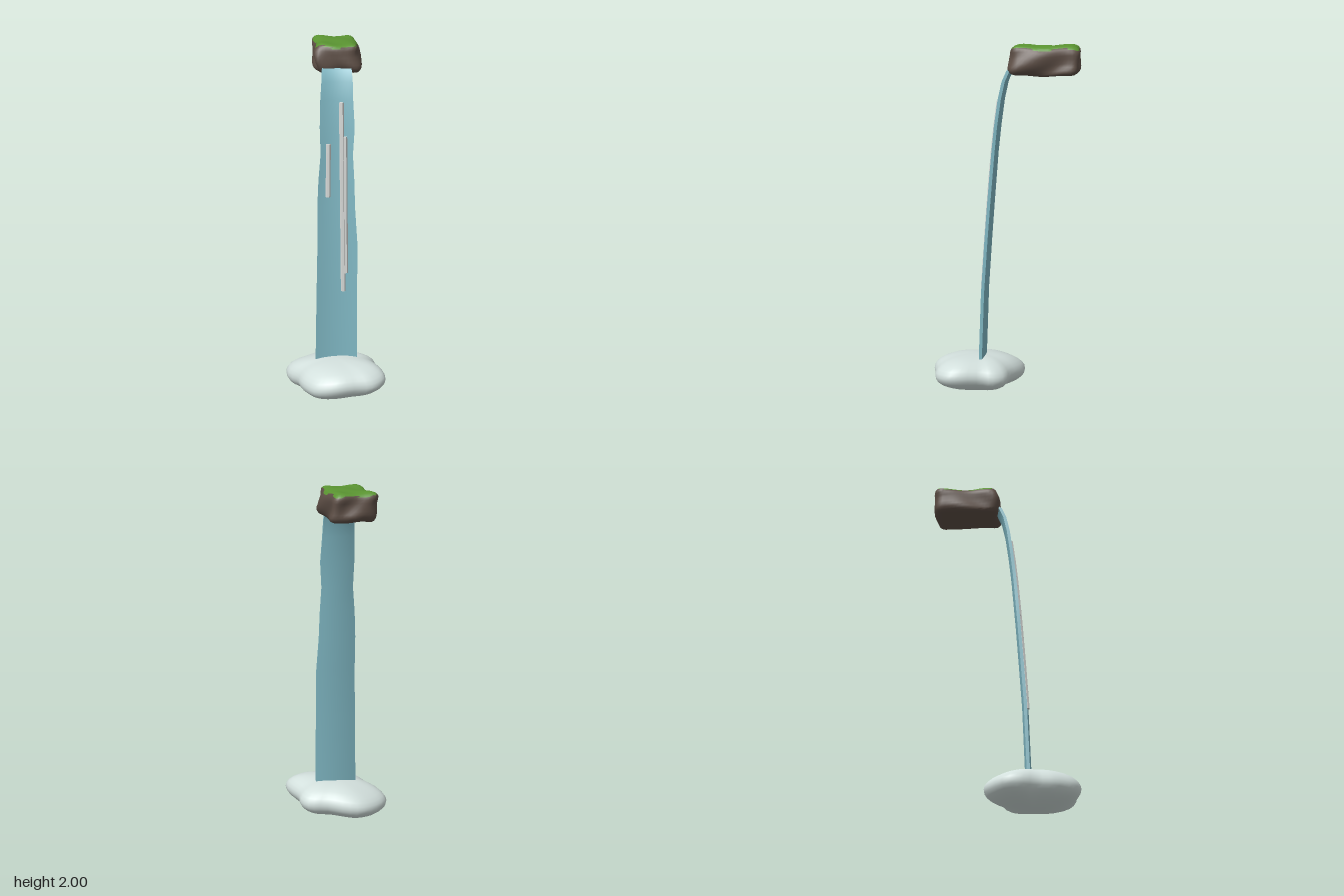
import * as THREE from 'three';
import { toCreasedNormals } from 'three/addons/utils/BufferGeometryUtils.js';

const mat = (name, color) => Object.assign(new THREE.MeshStandardMaterial({ color }), { name });

// Piecewise-linear lookup in rows of [key, value...], keys ascending
function sample(rows, k, col = 1) {
  if (k <= rows[0][0]) return rows[0][col];
  for (let i = 1; i < rows.length; i++) {
    if (k <= rows[i][0]) {
      const t = (k - rows[i - 1][0]) / (rows[i][0] - rows[i - 1][0]);
      return THREE.MathUtils.lerp(rows[i - 1][col], rows[i][col], t);
    }
  }
  return rows[rows.length - 1][col];
}

// Closed skin over rings listed bottom to top, points running from +x towards +z
function loft(rings, crease = 0.8) {
  const n = rings[0].length, pos = [];
  const tri = (a, b, c) => pos.push(...a, ...b, ...c);
  for (let i = 0; i < rings.length - 1; i++) {
    for (let j = 0; j < n; j++) {
      const k = (j + 1) % n, lo = rings[i], hi = rings[i + 1];
      tri(lo[j], hi[j], lo[k]);
      tri(hi[j], hi[k], lo[k]);
    }
  }
  const cap = (ring, up) => {
    const c = [0, 1, 2].map(a => ring.reduce((s, p) => s + p[a], 0) / n);
    ring.forEach((p, j) => {
      const q = ring[(j + 1) % n];
      up ? tri(c, q, p) : tri(c, p, q);
    });
  };
  cap(rings[0], false);
  cap(rings[rings.length - 1], true);
  const g = new THREE.BufferGeometry();
  g.setAttribute('position', new THREE.Float32BufferAttribute(pos, 3));
  return toCreasedNormals(g, crease);
}

// Fall profile: height, centre depth, left edge x, right edge x
const FALL = [
  [0.18, 0.123, -0.115, 0.125], [0.6, 0.108, -0.107, 0.125], [0.9, 0.088, -0.1, 0.125],
  [1.1, 0.074, -0.1, 0.112], [1.25, 0.062, -0.093, 0.108], [1.4, 0.05, -0.08, 0.1],
  [1.55, 0.034, -0.084, 0.11], [1.7, 0.014, -0.08, 0.102], [1.8, -0.008, -0.073, 0.1],
  [1.86, -0.034, -0.07, 0.096], [1.89, -0.07, -0.068, 0.092],
];

// Thin sheet, its edges curling slightly forward
function waterGeometry() {
  const N = 8, T = 0.009;
  const rings = FALL.map(([y, z, x0, x1]) => {
    const front = [], back = [];
    for (let i = 0; i <= N; i++) {
      const u = i / N, x = x1 + (x0 - x1) * u, c = z + 0.014 * (2 * u - 1) ** 2;
      front.push([x, y, c + T]);
      back.unshift([x, y, c - T]);
    }
    return [...front, ...back];
  });
  return loft(rings);
}

// Slim six-sided streak following the fall
function streakGeometry(y0, y1, x0, x1, lift) {
  const rings = [];
  for (let i = 0; i <= 8; i++) {
    const t = i / 8, y = y0 + (y1 - y0) * t, ring = [];
    for (let j = 0; j < 6; j++) {
      const a = j / 6 * Math.PI * 2;
      ring.push([x0 + (x1 - x0) * t + 0.0135 * Math.cos(a), y, sample(FALL, y) + lift + 0.012 * Math.sin(a)]);
    }
    rings.push(ring);
  }
  return loft(rings);
}

// Lobed cushion of foam
function foamGeometry() {
  const outline = [
    [0.235, 0.05], [0.235, 0.12], [0.275, 0.23], [0.28, 0.3], [0.25, 0.35], [0.2, 0.385],
    [0.12, 0.396], [0.03, 0.416], [-0.04, 0.414], [-0.12, 0.385], [-0.17, 0.33], [-0.203, 0.27],
    [-0.225, 0.19], [-0.278, 0.11], [-0.28, 0.02], [-0.2, -0.065], [-0.1, -0.106], [0, -0.085],
    [0.1, -0.037], [0.19, -0.012],
  ].map(([x, z]) => new THREE.Vector3(x, 0, z));
  const pts = new THREE.CatmullRomCurve3(outline, true).getPoints(48).slice(0, 48);
  const rings = [], cx = 0, cz = 0.16, R = 16;
  for (let i = 0; i <= R; i++) {
    const a = (i / R - 0.5) * Math.PI * 0.98;
    const r = Math.cos(a) ** 0.85, s = Math.sin(a);
    rings.push(pts.map(p => {
      const x = cx + (p.x - cx) * r, z = cz + (p.z - cz) * r;
      const mid = 0.108 + 0.07 * x + 0.03 * (z - cz);
      const ripple = 0.006 * Math.sin(x * 17 + 1) * Math.cos(z * 15) * r;
      return [x, mid + (s > 0 ? 0.106 : 0.102) * s + ripple, z];
    }));
  }
  return loft(rings, 1.2);
}

// Rounded, uneven block; upward faces go to group 1 for grass
function cliffGeometry() {
  const half = [0.124, 0.08, 0.192], rad = 0.042;
  const g = new THREE.BoxGeometry(half[0] * 2, half[1] * 2, half[2] * 2, 12, 9, 18);
  const p = g.attributes.position, v = new THREE.Vector3(), c = new THREE.Vector3();
  for (let i = 0; i < p.count; i++) {
    v.fromBufferAttribute(p, i);
    c.set(...half.map((h, a) => THREE.MathUtils.clamp(v.getComponent(a), rad - h, h - rad)));
    v.sub(c);
    if (v.lengthSq() > 0) v.setLength(rad);
    v.add(c);
    const { x, y, z } = v;
    // Waist above a bulging lower ledge, plus general lumps
    const ledge = 1 + 0.035 * Math.sin(y * 55 + z * 13 + x * 9);
    v.x = x * ledge + 0.009 * Math.sin(z * 21 + y * 25) + 0.016 + 0.025 * z;
    v.z = z * (1 + (ledge - 1) * 0.5) + 0.006 * Math.sin(x * 36 + y * 30) - 0.22;
    v.y = y + 1.916 + 0.005 * Math.sin(x * 33 + 1) * Math.cos(z * 24);
    if (y < 0) v.y += 0.014 * Math.cos(x * 14) * (-y / half[1]) - 0.008;
    p.setXYZ(i, v.x, v.y, v.z);
  }
  const flat = toCreasedNormals(g, 0.9), q = flat.attributes.position;
  const t = new THREE.Triangle(), n = new THREE.Vector3(), m = new THREE.Vector3();
  const lists = [[], []];
  for (let i = 0; i < q.count; i += 3) {
    t.setFromAttributeAndIndices(q, i, i + 1, i + 2);
    t.getNormal(n);
    t.getMidpoint(m);
    const limit = 0.6 + 0.15 * Math.sin(m.x * 40 + m.z * 31);
    lists[n.y > limit && m.y > 1.92 ? 1 : 0].push(i, i + 1, i + 2);
  }
  flat.setIndex([...lists[0], ...lists[1]]);
  flat.clearGroups();
  flat.addGroup(0, lists[0].length, 0);
  flat.addGroup(lists[0].length, lists[1].length, 1);
  return flat;
}

export function createModel() {
  const rock = mat('rock brown', 0x5f5047), grass = mat('grass green', 0x5a9431);
  const water = mat('water blue', 0x80b8c4), foam = mat('foam white', 0xd3e0dd);
  const streak = mat('streak white', 0xd6d8d6);

  const model = new THREE.Group();
  model.name = 'waterfall';
  const add = (name, geometry, material) => {
    const mesh = new THREE.Mesh(geometry, material);
    mesh.name = name;
    model.add(mesh);
  };

  add('grassyCliff', cliffGeometry(), [rock, grass]);
  add('waterSheet', waterGeometry(), water);
  add('foamPool', foamGeometry(), foam);

  // Streaks: bottom y, top y, bottom x, top x, distance from the sheet
  [
    [0.615, 1.69, 0.045, 0.036, 0.022],
    [0.72, 1.5, 0.059, 0.055, 0.018],
    [1.16, 1.46, -0.04, -0.036, 0.016],
  ].forEach((s, i) => add('streak' + (i + 1), streakGeometry(...s), streak));

  return model;
}
